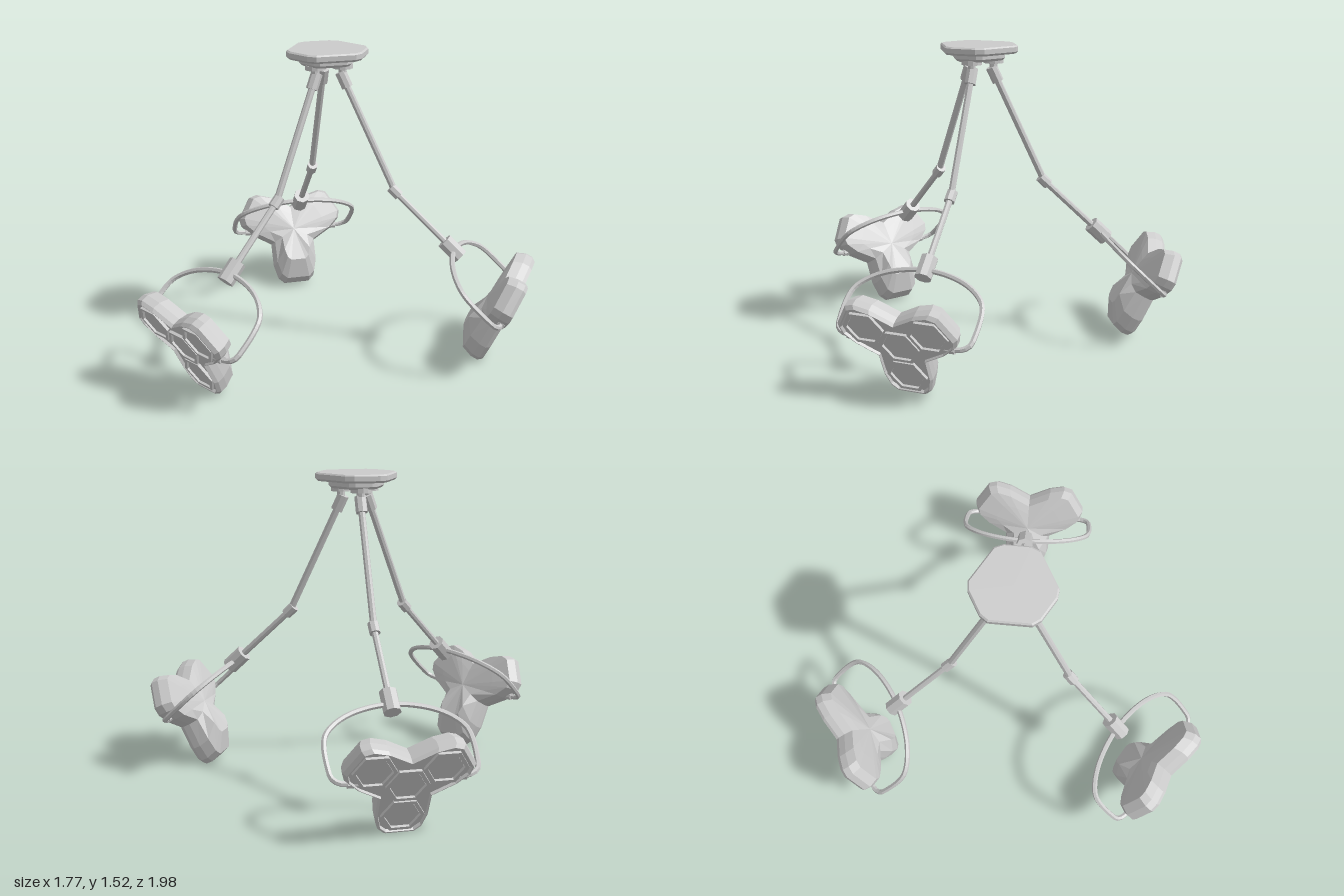
import * as THREE from 'three';

const grey = new THREE.MeshStandardMaterial({ color: 0xcccccc, flatShading: true });
const V = (x, y, z = 0) => new THREE.Vector3(x, y, z);
const rad = THREE.MathUtils.degToRad;

function part(name, geometry, parent) {
  const mesh = new THREE.Mesh(geometry, grey);
  mesh.name = name;
  parent.add(mesh);
  return mesh;
}

// Cylinder running from point a to point b
function rod(name, a, b, radius, sides, parent) {
  const mesh = part(name, new THREE.CylinderGeometry(radius, radius, a.distanceTo(b), sides), parent);
  mesh.position.copy(a).add(b).multiplyScalar(0.5);
  mesh.quaternion.setFromUnitVectors(V(0, 1, 0), b.clone().sub(a).normalize());
  return mesh;
}

// Skin over rings (high z to low z, counterclockwise), closed by a centre point at each end
function loft(rings, front, back) {
  const pos = [];
  const tri = (...points) => points.forEach(p => pos.push(p.x, p.y, p.z));
  const n = rings[0].length, last = rings[rings.length - 1];
  for (let i = 0; i < n; i++) {
    const j = (i + 1) % n;
    tri(front, rings[0][i], rings[0][j]);
    for (let k = 0; k + 1 < rings.length; k++) {
      const r = rings[k], s = rings[k + 1];
      tri(r[i], s[i], s[j]);
      tri(r[i], s[j], r[j]);
    }
    tri(back, last[j], last[i]);
  }
  const g = new THREE.BufferGeometry();
  g.setAttribute('position', new THREE.Float32BufferAttribute(pos, 3));
  g.computeVertexNormals();
  return g;
}

// Repeats the (along, across) points of one lobe at three angles
function threeLobes(points, firstAngle) {
  return [0, 120, 240].flatMap(step => {
    const t = rad(firstAngle + step), c = Math.cos(t), s = Math.sin(t);
    return points.map(([a, b]) => [a * c - b * s, a * s + b * c]);
  });
}

function ceilingPlate(parent) {
  const lobe = [-31, -18, 18, 31].map(d => [0.2 * Math.cos(rad(d)), 0.2 * Math.sin(rad(d))]);
  const outline = threeLobes(lobe, 0);
  const ring = (scale, z) => outline.map(([x, y]) => V(x * scale, y * scale, z));
  const plate = part('ceilingPlate', loft([
    ring(0.96, 1.545), ring(1, 1.538), ring(1, 1.515), ring(0.95, 1.505),
    ring(0.68, 1.505), ring(0.68, 1.482), ring(0.62, 1.47),
  ], V(0, 0, 1.545), V(0, 0, 1.47)), parent);
  plate.rotation.x = -Math.PI / 2;
}

function hexagon(radius) {
  return Array.from({ length: 6 }, (_, i) =>
    new THREE.Vector2(radius * Math.cos(i * Math.PI / 3), radius * Math.sin(i * Math.PI / 3)));
}

// Three-lobed lamp head facing +z, with four hexagonal lenses
function lampHead() {
  const head = new THREE.Group();
  head.name = 'lampHead';
  const lobe = [[0.195, -0.12], [0.27, -0.1], [0.3, -0.068], [0.3, 0.068],
    [0.27, 0.1], [0.195, 0.12], [0.07, 0.121]];
  const outline = threeLobes(lobe, 30);
  // The lower lobe is deeper at the back than the upper two
  const ring = (scale, z, drop = 0) => outline.map(([x, y]) =>
    V(x * scale, y * scale, z - drop * THREE.MathUtils.clamp(-y / 0.2, 0, 1)));
  part('headShell', loft([
    ring(0.91, -0.014), ring(0.93, 0), ring(0.95, 0), ring(1, -0.018), ring(1, -0.055),
    ring(0.93, -0.1, 0.012), ring(0.6, -0.112, 0.052),
  ], V(0, 0, -0.014), V(0, 0, -0.13)), head);

  const frameShape = new THREE.Shape(hexagon(0.1));
  frameShape.holes.push(new THREE.Path(hexagon(0.083).reverse()));
  const frame = new THREE.ExtrudeGeometry(frameShape, { depth: 0.016, bevelEnabled: false });
  const lens = new THREE.ExtrudeGeometry(new THREE.Shape(hexagon(0.078)), { depth: 0.007, bevelEnabled: false });
  const centres = [[0, 0], ...threeLobes([[0.182, 0]], 30)];
  centres.forEach(([x, y]) => {
    part('lensFrame', frame, head).position.set(x, y, -0.016);
    part('lens', lens, head).position.set(x, y, -0.016);
  });
  return head;
}

// One jointed arm reaching along +x, with its yoke and head
function lampArm() {
  const arm = new THREE.Group();
  arm.name = 'lampArm';
  const shoulder = V(0.082, 1.4), elbow = V(0.34, 0.85), wrist = V(0.63, 0.575);
  const along = (p, q, d) => p.clone().addScaledVector(q.clone().sub(p).normalize(), d);

  rod('mountDisc', V(0.078, 1.475), V(0.078, 1.452), 0.05, 12, arm);
  rod('mountStub', V(0.078, 1.455), V(0.078, 1.405), 0.02, 8, arm);
  rod('shoulderJoint', along(shoulder, elbow, -0.035), along(shoulder, elbow, 0.045), 0.029, 8, arm);
  rod('upperArm', shoulder, elbow, 0.017, 8, arm);
  rod('elbowJoint', along(elbow, wrist, -0.028), along(elbow, wrist, 0.03), 0.027, 8, arm);
  rod('lowerArm', elbow, wrist, 0.016, 8, arm);
  rod('wristHub', along(wrist, elbow, 0.055), along(wrist, elbow, -0.055), 0.042, 8, arm);

  // Yoke: half of the bow as (distance down the slope, sideways), mirrored
  const half = [[0, 0], [0.01, 0.1], [0.04, 0.2], [0.085, 0.275], [0.135, 0.32], [0.19, 0.335],
    [0.29, 0.335], [0.345, 0.325], [0.37, 0.29], [0.375, 0.22]];
  const bow = [...half.slice(1).reverse().map(([s, z]) => [s, -z]), ...half];
  const path = new THREE.CatmullRomCurve3(bow.map(([s, z]) => V(0.64 + 0.72 * s, 0.567 - 0.69 * s, z)));
  part('yoke', new THREE.TubeGeometry(path, 60, 0.013, 6), arm);
  for (const side of [-1, 1])
    rod('headPivot', V(0.91, 0.308, side * 0.2), V(0.91, 0.308, side * 0.265), 0.019, 8, arm);

  const head = lampHead();
  head.position.set(0.93, 0.285, 0);
  head.rotation.set(0, Math.PI / 2, -0.455, 'ZYX');
  arm.add(head);
  return arm;
}

export function createModel() {
  const model = new THREE.Group();
  model.name = 'threeArmCeilingLamp';
  const body = new THREE.Group();
  body.name = 'lampBody';
  body.position.x = -0.13;
  model.add(body);
  ceilingPlate(body);
  for (const angle of [0, 119, -121]) {
    const arm = lampArm();
    arm.rotation.y = rad(angle);
    body.add(arm);
  }
  return model;
}
